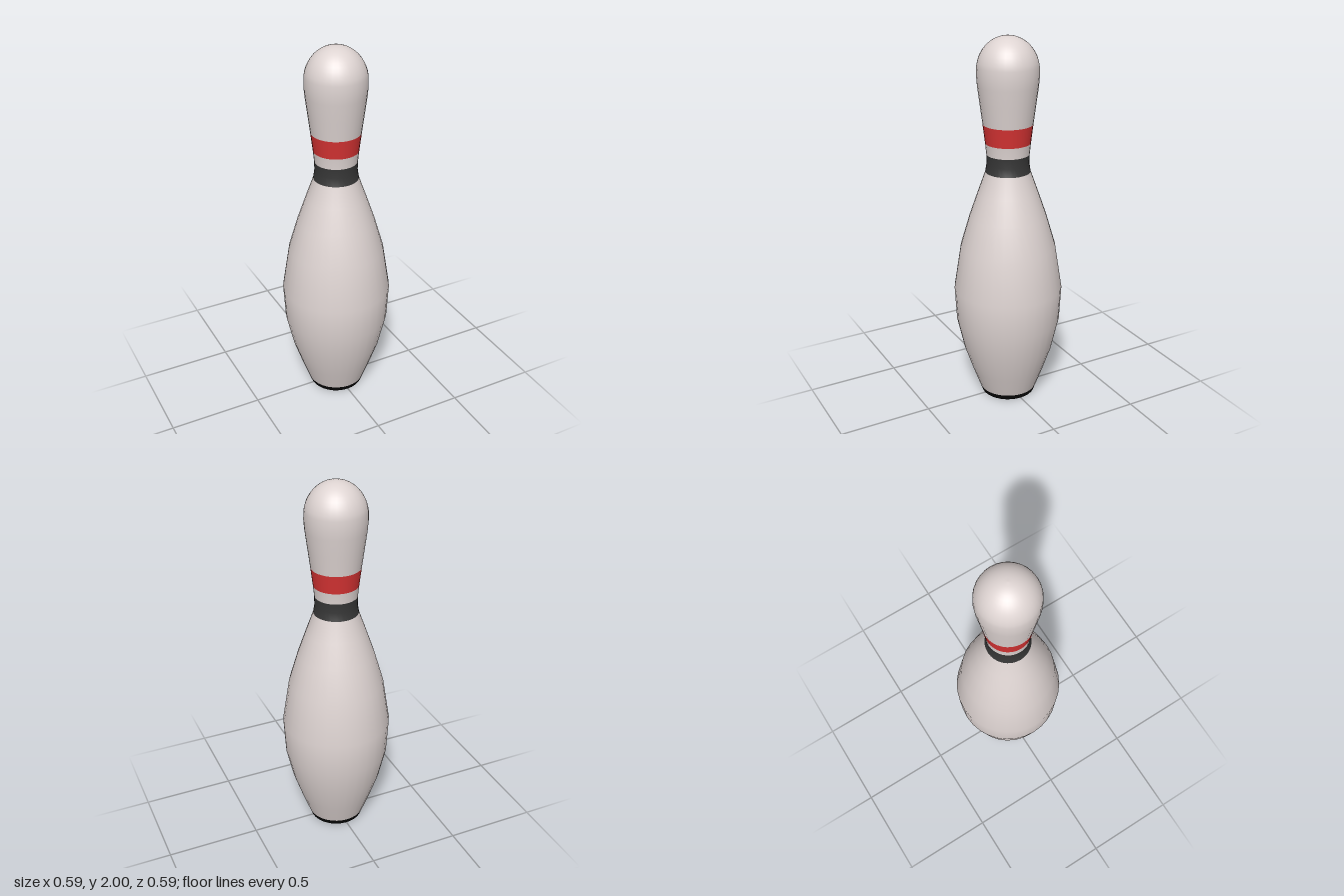
import * as THREE from 'three';

export function createModel() {
  const model = new THREE.Group();
  model.name = 'bowlingPin';
  const material = (name, color) => new THREE.MeshStandardMaterial({ name, color });
  const ivory = material('ivory', 0xded4d2);
  const red = material('red', 0xd63333);
  const charcoal = material('charcoal', 0x363636);
  const black = material('black', 0x080808);

  // Outline as [radius, height], from the foot up to the start of the dome
  const profile = [
    [0.147, 0], [0.158, 0.03], [0.2, 0.145], [0.245, 0.28], [0.283, 0.45],
    [0.293, 0.64], [0.255, 0.88], [0.205, 1.05], [0.16, 1.18], [0.119, 1.295],
    [0.112, 1.34], [0.113, 1.39], [0.119, 1.45], [0.131, 1.55],
    [0.144, 1.65], [0.157, 1.75], [0.161, 1.8],
  ];
  // Rounded dome
  for (let i = 1; i <= 12; i++) {
    const a = (i / 12) * Math.PI / 2;
    profile.push([i === 12 ? 0 : 0.161 * Math.cos(a), 1.825 + 0.175 * Math.sin(a)]);
  }

  const SIDES = 32;
  const lathe = new THREE.LatheGeometry(profile.map(([r, y]) => new THREE.Vector2(r, y)), SIDES);
  const rows = profile.length - 1;

  // Cut one band out of the turned surface, keeping its smooth normals
  function band(name, fromY, toY, mat) {
    const index = Array.from(lathe.index.array).filter((_, k) => {
      const row = Math.floor(k / 6) % rows;
      return profile[row][1] >= fromY && profile[row + 1][1] <= toY + 1e-6;
    });
    const geometry = lathe.clone();
    geometry.setIndex(index);
    const mesh = new THREE.Mesh(geometry, mat);
    mesh.name = name;
    model.add(mesh);
  }

  band('baseRim', 0, 0.03, black);
  band('body', 0.03, 1.295, ivory);
  band('lowerStripe', 1.295, 1.39, charcoal);
  band('neck', 1.39, 1.45, ivory);
  band('upperStripe', 1.45, 1.55, red);
  band('head', 1.55, 2, ivory);

  // Flat underside
  const foot = new THREE.Mesh(new THREE.CircleGeometry(profile[0][0], SIDES), black);
  foot.name = 'underside';
  foot.rotation.x = Math.PI / 2;
  model.add(foot);

  return model;
}
